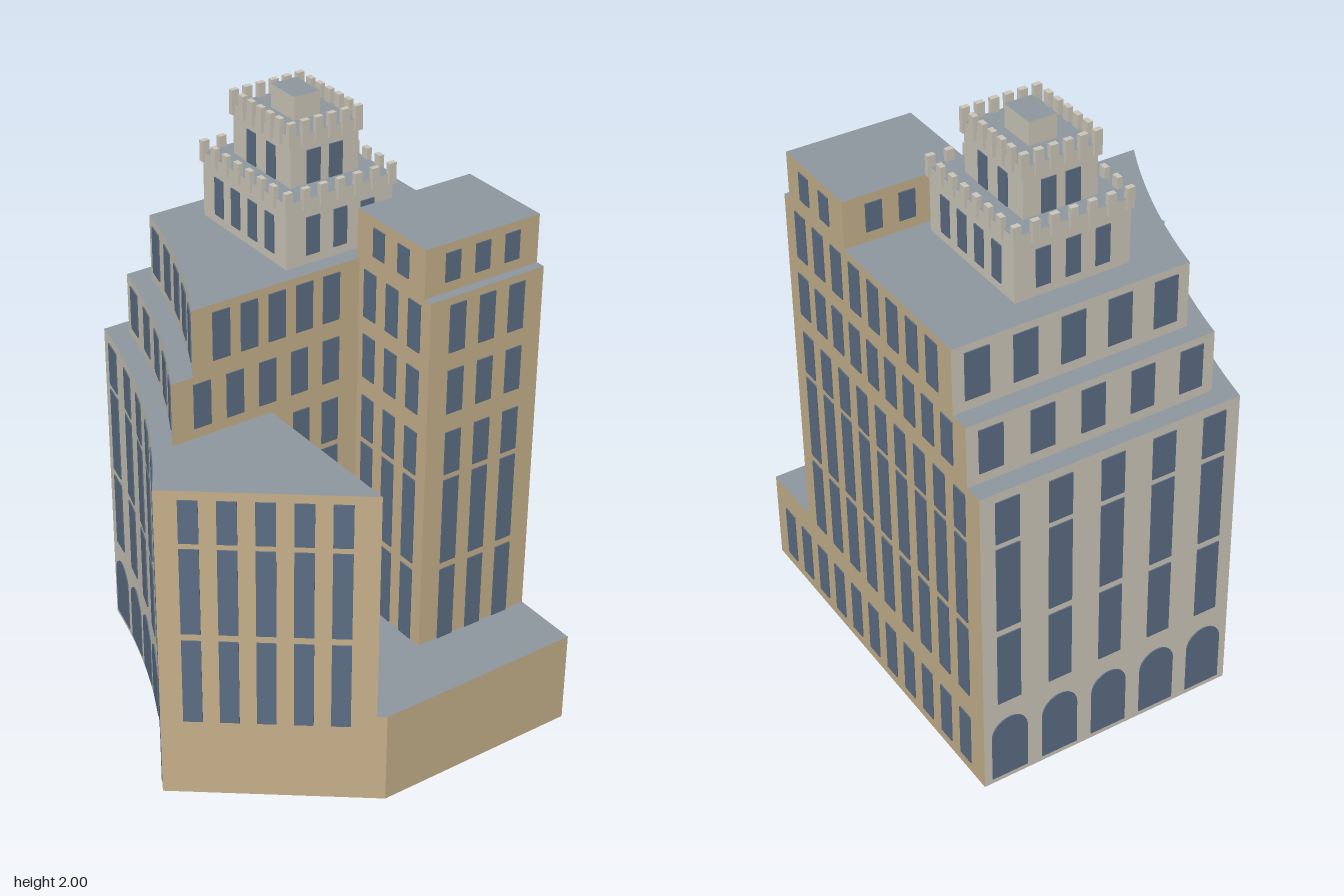
import * as THREE from 'three';
import { mergeGeometries, toCreasedNormals } from 'three/addons/utils/BufferGeometryUtils.js';

const mat = (name, color, side = THREE.FrontSide) => {
  const m = new THREE.MeshStandardMaterial({ color, side });
  m.name = name;
  return m;
};

export function createModel() {
  const model = new THREE.Group();
  model.name = 'towerBlock';
  const tan = mat('tanBrick', 0xc6b18c, THREE.DoubleSide);
  const stone = mat('paleStone', 0xcdc8bb, THREE.DoubleSide);
  const roof = mat('slateRoof', 0x8f99a1, THREE.DoubleSide);
  const glass = mat('windowGlass', 0x5c6e84);

  const add = (name, geometry, material) => {
    const mesh = new THREE.Mesh(geometry, material);
    mesh.name = name;
    model.add(mesh);
  };

  // Concave street front, running from the back corner to the front corner
  const CURVE = 16;
  const streetCurve = (x0, z0, x1, z1) => {
    const dx = x1 - x0, dz = z1 - z0, bow = 0.104 * Math.hypot(dx, dz);
    return new THREE.QuadraticBezierCurve(
      new THREE.Vector2(x0, z0),
      new THREE.Vector2((x0 + x1) / 2 + dz * bow, (z0 + z1) / 2 - dx * bow),
      new THREE.Vector2(x1, z1));
  };
  const curvePoints = (curve) => curve.getPoints(CURVE).map((p) => [p.x, p.y]);

  // Walls and roof over a plan of [x, z] corners; isStone picks the stone walls
  function prism(name, plan, y0, y1, isStone) {
    const tanV = [], stoneV = [], roofV = [];
    plan.forEach(([ax, az], i) => {
      const [bx, bz] = plan[(i + 1) % plan.length];
      (isStone(i) ? stoneV : tanV).push(
        ax, y0, az, bx, y0, bz, bx, y1, bz, ax, y0, az, bx, y1, bz, ax, y1, az);
    });
    const outline = plan.map(([x, z]) => new THREE.Vector2(x, -z));
    for (const tri of THREE.ShapeUtils.triangulateShape(outline, []))
      for (const k of tri) roofV.push(plan[k][0], y1, plan[k][1]);
    [['TanWalls', tanV, tan], ['StoneWalls', stoneV, stone], ['Roof', roofV, roof]].forEach(([part, v, m]) => {
      if (!v.length) return;
      const g = new THREE.BufferGeometry();
      g.setAttribute('position', new THREE.Float32BufferAttribute(v, 3));
      add(name + part, toCreasedNormals(g, Math.PI / 7), m);
    });
  }
  const rect = (x0, x1, z0, z1) => [[x0, z0], [x0, z1], [x1, z1], [x1, z0]];
  const streetAndBack = (plan) => (i) => i < CURVE || i === plan.length - 1;

  // Thin window plate on a wall that runs in direction (dx, dz)
  function plate(x, z, dx, dz, w, y0, y1, arched) {
    const T = 0.008, h = y1 - y0;
    let g;
    if (arched) {
      const r = w / 2, s = new THREE.Shape();
      s.moveTo(-r, 0);
      s.lineTo(r, 0);
      s.lineTo(r, h - r);
      s.absarc(0, h - r, r, 0, Math.PI, false);
      g = new THREE.ExtrudeGeometry(s, { depth: T, bevelEnabled: false, curveSegments: 10 });
      g.translate(0, y0, -T / 2);
    } else {
      g = new THREE.BoxGeometry(w, h, T).translate(0, (y0 + y1) / 2, 0);
    }
    return g.rotateY(Math.atan2(-dz, dx)).translate(x, 0, z);
  }

  // Evenly spaced windows between two centres, walls listed counterclockwise from above
  function windows(name, [ax, az], [bx, bz], n, w, rows, arched = false) {
    const parts = [];
    for (let i = 0; i < n; i++)
      for (const [y0, y1] of rows) {
        const t = i / (n - 1);
        parts.push(plate(ax + (bx - ax) * t, az + (bz - az) * t, bx - ax, bz - az, w, y0, y1, arched));
      }
    add(name, mergeGeometries(parts), glass);
  }
  function curvedWindows(name, curve, n, w, rows, arched = false) {
    const parts = [];
    for (let i = 0; i < n; i++)
      for (const [y0, y1] of rows) {
        const u = (i + 0.5) / n, p = curve.getPointAt(u), d = curve.getTangentAt(u);
        parts.push(plate(p.x, p.y, d.x, d.y, w, y0, y1, arched));
      }
    add(name, mergeGeometries(parts), glass);
  }

  const LOW = [[0.32, 0.585], [0.61, 0.915], [0.935, 1.085]];
  const TIER2 = [[1.15, 1.3]], TIER3 = [[1.36, 1.52]], TOP = [[1.58, 1.675]];
  const ARCH = [[0.02, 0.25]], GROUND = [[0.04, 0.23]];

  // Open-bottomed base storey
  const street = streetCurve(-0.265, -0.66, -0.635, 0.24);
  const base = [...curvePoints(street), [-0.085, 0.66], [0.63, 0.655], [0.63, -0.66]];
  prism('base', base, 0, 0.32, streetAndBack(base));

  // Main body with the angled front wing
  const body = [...curvePoints(street), [-0.11, 0.641], [-0.11, 0.07], [0.63, 0.07], [0.63, -0.66]];
  prism('body', body, 0.32, 1.115, streetAndBack(body));

  // Two setbacks
  const street2 = streetCurve(-0.21, -0.595, -0.46, 0.072);
  const tier2 = [...curvePoints(street2), [0.63, 0.072], [0.63, -0.595]];
  prism('lowerSetback', tier2, 1.115, 1.325, streetAndBack(tier2));
  const street3 = streetCurve(-0.16, -0.528, -0.385, 0.072);
  const tier3 = [...curvePoints(street3), [0.63, 0.072], [0.63, -0.528]];
  prism('upperSetback', tier3, 1.325, 1.545, streetAndBack(tier3));

  // Front block and its penthouse
  prism('frontBlock', rect(0.21, 0.63, 0.07, 0.425), 0.32, 1.545, () => false);
  prism('penthouse', rect(0.21, 0.63, 0.06, 0.393), 1.545, 1.705, () => false);

  // Front windows
  const onWing = (x) => [x, 0.24 + (x + 0.635) * 0.7636];
  windows('wingWindows', onWing(-0.555), onWing(-0.197), 5, 0.06, [[0.28, 0.585], LOW[1], LOW[2]]);
  windows('wingSideWindows', [-0.11, 0.565], [-0.11, 0.125], 5, 0.06, LOW);
  windows('bodyFrontWindows', [0, 0.07], [0.107, 0.07], 2, 0.06, LOW);
  windows('lowerSetbackFrontWindows', [-0.355, 0.072], [0.107, 0.072], 5, 0.06, TIER2);
  windows('upperSetbackFrontWindows', [-0.285, 0.072], [0.107, 0.072], 5, 0.06, TIER3);
  windows('frontBlockWindows', [0.31, 0.425], [0.53, 0.425], 3, 0.058, [...LOW, ...TIER2, ...TIER3]);
  windows('frontBlockInnerWindows', [0.21, 0.13], [0.21, 0.35], 3, 0.058, [...LOW, ...TIER2, ...TIER3]);
  windows('penthouseFrontWindows', [0.31, 0.393], [0.53, 0.393], 3, 0.054, TOP);
  windows('penthouseInnerWindows', [0.21, 0.17], [0.21, 0.29], 2, 0.054, TOP);
  windows('penthouseBackWindows', [0.53, 0.06], [0.31, 0.06], 3, 0.054, TOP);
  windows('penthouseLeftWindows', [0.63, 0.29], [0.63, 0.17], 2, 0.054, TOP);

  // Left side windows
  windows('groundLeftWindows', [0.63, 0.56], [0.63, -0.555], 11, 0.06, GROUND);
  windows('bodyLeftWindows', [0.63, 0.33], [0.63, -0.555], 9, 0.06, LOW);
  windows('lowerSetbackLeftWindows', [0.63, 0.335], [0.63, -0.495], 9, 0.06, TIER2);
  windows('upperSetbackLeftWindows', [0.63, 0.33], [0.63, -0.425], 8, 0.06, TIER3);

  // Back windows and arches
  windows('backArches', [0.54, -0.66], [-0.175, -0.66], 5, 0.125, ARCH, true);
  windows('bodyBackWindows', [0.54, -0.66], [-0.175, -0.66], 5, 0.08, LOW);
  windows('lowerSetbackBackWindows', [0.55, -0.595], [-0.13, -0.595], 5, 0.08, TIER2);
  windows('upperSetbackBackWindows', [0.55, -0.528], [-0.08, -0.528], 5, 0.08, TIER3);

  // Curved street front windows and arches
  curvedWindows('streetArches', street, 6, 0.125, ARCH, true);
  curvedWindows('bodyStreetWindows', street, 6, 0.075, LOW);
  curvedWindows('lowerSetbackStreetWindows', street2, 5, 0.07, TIER2);
  curvedWindows('upperSetbackStreetWindows', street3, 5, 0.07, TIER3);

  // Battlement teeth around a rectangle
  function battlement(name, x0, x1, z0, z1, y0, y1, nx, nz) {
    const parts = [], W = 0.026, D = 0.017;
    const tooth = (w, d, x, z) =>
      parts.push(new THREE.BoxGeometry(w, y1 - y0, d).translate(x, (y0 + y1) / 2, z));
    for (let i = 0; i < nx; i++) {
      const x = x0 + W / 2 + ((x1 - x0 - W) * i) / (nx - 1);
      for (const z of [z0 + D / 2, z1 - D / 2]) tooth(W, D, x, z);
    }
    for (let i = 1; i < nz - 1; i++) {
      const z = z0 + W / 2 + ((z1 - z0 - W) * i) / (nz - 1);
      for (const x of [x0 + D / 2, x1 - D / 2]) tooth(D, W, x, z);
    }
    add(name, mergeGeometries(parts), stone);
  }

  // Stepped stone crown
  const all = () => true;
  prism('crownLower', rect(-0.017, 0.368, -0.435, 0.017), 1.545, 1.76, all);
  battlement('crownLowerBattlement', -0.025, 0.376, -0.443, 0.025, 1.728, 1.797, 7, 8);
  prism('crownUpper', rect(0.053, 0.298, -0.37, -0.065), 1.76, 1.925, all);
  battlement('crownUpperBattlement', 0.043, 0.308, -0.378, -0.057, 1.89, 1.97, 6, 7);
  prism('crownCap', rect(0.13, 0.222, -0.282, -0.157), 1.925, 2, all);

  // Crown windows on all four sides
  function crownWindows(name, xs, zs, nx, nz, x0, x1, z0, z1, rows) {
    windows(name + 'Front', [xs[0], z1], [xs[1], z1], nx, 0.048, rows);
    windows(name + 'Back', [xs[1], z0], [xs[0], z0], nx, 0.048, rows);
    windows(name + 'Left', [x1, zs[1]], [x1, zs[0]], nz, 0.046, rows);
    windows(name + 'Right', [x0, zs[0]], [x0, zs[1]], nz, 0.046, rows);
  }
  crownWindows('crownLowerWindows', [0.077, 0.275], [-0.345, -0.07], 3, 4, -0.017, 0.368, -0.435, 0.017, [[1.575, 1.7]]);
  crownWindows('crownUpperWindows', [0.135, 0.215], [-0.27, -0.165], 2, 2, 0.053, 0.298, -0.37, -0.065, [[1.762, 1.87]]);

  return model;
}
